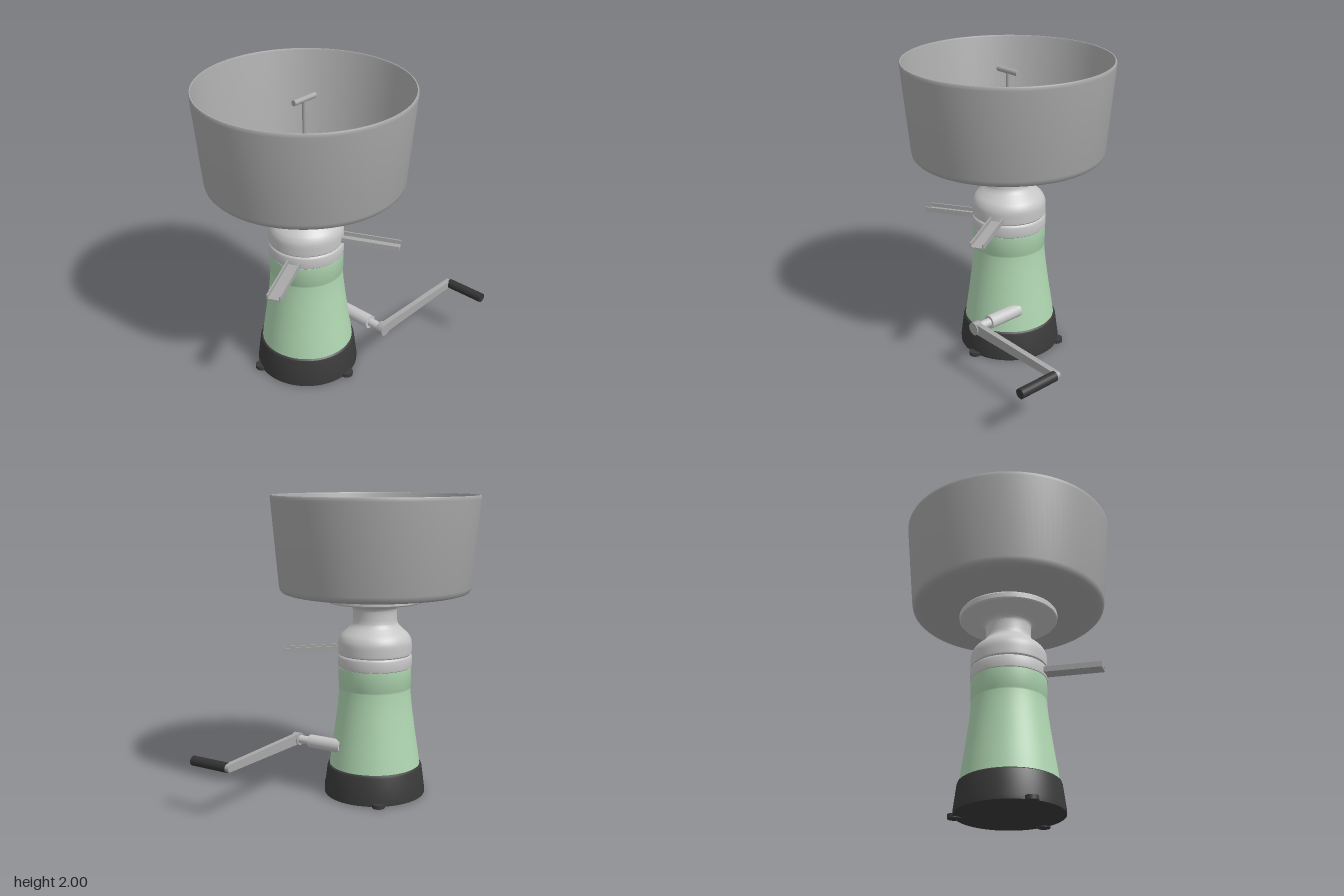
import * as THREE from 'three';
import { toCreasedNormals } from 'three/addons/utils/BufferGeometryUtils.js';

const material = (name, color) => {
  const m = new THREE.MeshStandardMaterial({ color });
  m.name = name;
  return m;
};

export function createModel() {
  const model = new THREE.Group();
  model.name = 'creamSeparator';
  const steel = material('steel grey', 0xa8a8a8);
  const aluminium = material('light aluminium', 0xc6c6c6);
  const green = material('pale green', 0xafd6b1);
  const black = material('black plastic', 0x3a3a3a);
  const grip = material('dark grip', 0x333333);

  const add = (parent, name, geometry, mat, x = 0, y = 0, z = 0) => {
    const mesh = new THREE.Mesh(geometry, mat);
    mesh.name = name;
    mesh.position.set(x, y, z);
    parent.add(mesh);
    return mesh;
  };
  const lathe = (points, segments = 80) => toCreasedNormals(
    new THREE.LatheGeometry(points.map(([r, y]) => new THREE.Vector2(r, y)), segments), 0.6);
  // Cylinder lying along z between two depths
  const rod = (r, z0, z1) => new THREE.CylinderGeometry(r, r, z1 - z0, 32)
    .rotateX(Math.PI / 2).translate(0, 0, (z0 + z1) / 2);

  // Everything turned around the vertical axis of the machine
  const body = new THREE.Group();
  body.name = 'body';
  body.position.set(-0.16, 0, -0.043);
  model.add(body);

  add(body, 'base', lathe([[0, 0.005], [0.34, 0.005], [0.34, 0.03], [0.32, 0.185],
    [0.316, 0.197], [0.305, 0.205], [0, 0.205]]), black);
  for (const degrees of [85, 205, 325]) {
    const a = THREE.MathUtils.degToRad(degrees);
    add(body, 'foot', new THREE.CylinderGeometry(0.042, 0.042, 0.026, 24), black,
      0.338 * Math.cos(a), 0.013, 0.338 * Math.sin(a));
  }

  // Flared housing with a straight collar
  const flare = new THREE.SplineCurve([[0.306, 0.2], [0.292, 0.3], [0.277, 0.4], [0.263, 0.5],
    [0.25, 0.6], [0.242, 0.68], [0.239, 0.735]].map(p => new THREE.Vector2(...p)));
  add(body, 'housing', lathe([...flare.getPoints(24).map(p => [p.x, p.y]),
    [0.242, 0.74], [0.242, 0.87], [0, 0.87]]), green);

  add(body, 'lowerBand', lathe([[0, 0.868], [0.238, 0.868], [0.244, 0.874], [0.246, 0.885],
    [0.246, 0.94], [0.243, 0.95], [0.236, 0.956], [0, 0.956]]), aluminium);
  const shoulder = new THREE.SplineCurve([[0.245, 0.975], [0.245, 1.03], [0.239, 1.06],
    [0.222, 1.09], [0.185, 1.125], [0.16, 1.15], [0.147, 1.18], [0.146, 1.25],
    [0.158, 1.275], [0.19, 1.29]].map(p => new THREE.Vector2(...p)));
  add(body, 'shoulderAndNeck', lathe([[0, 0.956], [0.238, 0.957], [0.244, 0.964],
    ...shoulder.getPoints(48).map(p => [p.x, p.y]), [0.23, 1.307], [0, 1.32]]), aluminium);
  add(body, 'bowlFlange', lathe([[0.18, 1.285], [0.28, 1.307], [0.312, 1.307], [0.319, 1.315],
    [0.32, 1.345], [0.314, 1.354], [0, 1.356]]), aluminium);

  // Open thin-walled bowl: outside up, over the rim, inside down
  add(body, 'bowl', lathe([[0, 1.355], [0.36, 1.355], [0.5, 1.361], [0.585, 1.37], [0.612, 1.378],
    [0.625, 1.392], [0.631, 1.415], [0.679, 1.975], [0.68, 1.992], [0.676, 2], [0.669, 2],
    [0.665, 1.99], [0.617, 1.425], [0.61, 1.405], [0.595, 1.393], [0.57, 1.385],
    [0.48, 1.376], [0.36, 1.37], [0, 1.37]], 112), steel);

  // Valve key standing in the bowl
  add(body, 'valveSocket', lathe([[0.042, 1.365], [0.062, 1.365], [0.06, 1.43], [0.054, 1.436],
    [0.044, 1.436], [0.042, 1.43], [0.042, 1.365]], 32), steel);
  add(body, 'valveStem', new THREE.CylinderGeometry(0.014, 0.014, 0.55, 20), steel, 0, 1.645, 0);
  add(body, 'valveCrossbar', new THREE.CylinderGeometry(0.018, 0.018, 0.184, 20)
    .rotateZ(Math.PI / 2), steel, 0, 1.92, 0);

  // Sloping U-shaped spouts pointing away from the axis
  const channel = new THREE.Shape([[-0.045, 0], [0.045, 0], [0.045, 0.036], [0.036, 0.036],
    [0.036, 0.009], [-0.036, 0.009], [-0.036, 0.036], [-0.045, 0.036]]
    .map(p => new THREE.Vector2(...p)));
  const spoutGeometry = new THREE.ExtrudeGeometry(channel, { depth: 0.395, bevelEnabled: false });
  for (const [name, degrees, y] of [['upperSpout', 60, 0.979], ['lowerSpout', 155, 0.891]]) {
    const a = THREE.MathUtils.degToRad(degrees);
    const spout = add(body, name, spoutGeometry, steel, 0.218 * Math.cos(a), y, 0.218 * Math.sin(a));
    spout.rotation.set(0.055, Math.PI / 2 - a, 0, 'YXZ');
  }

  // Hand crank
  const crank = new THREE.Group();
  crank.name = 'crank';
  crank.position.set(0.065, 0.348, 0);
  model.add(crank);
  add(crank, 'crankSleeve', rod(0.045, 0.08, 0.33), aluminium);
  add(crank, 'crankShaft', rod(0.028, 0.32, 0.42), aluminium);
  add(crank, 'crankHub', rod(0.043, 0.412, 0.463), steel);
  const arm = new THREE.Shape();
  arm.moveTo(0, -0.034);
  arm.lineTo(0.74, -0.025);
  arm.absarc(0.74, 0, 0.025, -Math.PI / 2, Math.PI / 2, false);
  arm.lineTo(0, 0.038);
  arm.closePath();
  add(crank, 'crankArm', new THREE.ExtrudeGeometry(arm,
    { depth: 0.036, bevelEnabled: false, curveSegments: 16 }), steel, 0, 0, 0.42);
  add(crank, 'crankGrip', rod(0.032, 0.448, 0.722), grip, 0.74, 0, 0);

  return model;
}
